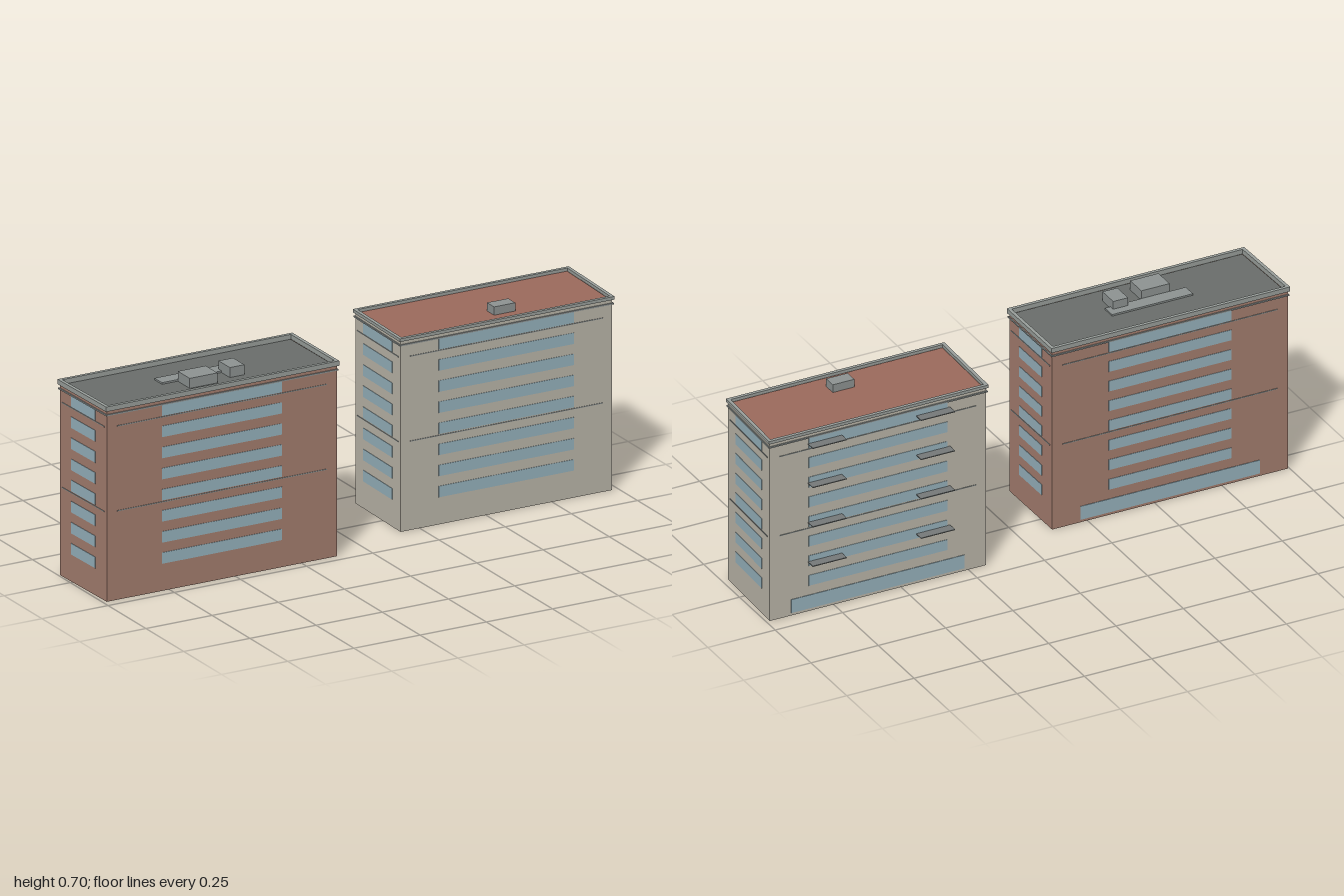
import * as THREE from 'three';

const mat = (color) => new THREE.MeshStandardMaterial({ color, flatShading: true });
const BRICK = mat(0xa67f70), BEIGE = mat(0xbdb8ab), GLASS = mat(0x98b4bf), TRIM = mat(0x8f9594),
  PARAPET = mat(0x9ba19d), ROOF_GREY = mat(0x6b6f6c), ROOF_RED = mat(0x9d6b5d), CANOPY = mat(0x777b7b);
const WALL_H = 0.665;

function add(group, name, geometry, material) {
  const mesh = new THREE.Mesh(geometry, material);
  mesh.name = name;
  group.add(mesh);
  return mesh;
}

// Footprint corners [x, z] run front left, front right, back right, back left on the plan.
const grow = (q, d) => q.map(([x, z], i) => [x + (i === 1 || i === 2 ? d : -d), z + (i < 2 ? d : -d)]);
const points = (q) => q.map(([x, z]) => new THREE.Vector2(x, -z));

// Upright prism over a footprint, with an optional hole
function prism(quad, y0, y1, hole) {
  const shape = new THREE.Shape(points(quad));
  if (hole) shape.holes.push(new THREE.Path(points(hole)));
  return new THREE.ExtrudeGeometry(shape, { depth: y1 - y0, bevelEnabled: false })
    .rotateX(-Math.PI / 2).translate(0, y0, 0);
}

// Box from its min and max corners
function block(x0, x1, y0, y1, z0, z1) {
  return new THREE.BoxGeometry(x1 - x0, y1 - y0, z1 - z0)
    .translate((x0 + x1) / 2, (y0 + y1) / 2, (z0 + z1) / 2);
}

// Thin panel centred on one wall, inset from both ends by a fraction of the wall
function wallPanel(quad, side, inset, y0, y1, depth) {
  const [ax, az] = quad[side], [bx, bz] = quad[(side + 1) % 4];
  const length = Math.hypot(bx - ax, bz - az) * (1 - 2 * inset);
  return new THREE.BoxGeometry(length, y1 - y0, depth)
    .rotateY(Math.atan2(az - bz, bx - ax))
    .translate((ax + bx) / 2, (y0 + y1) / 2, (az + bz) / 2);
}

function building({ name, quad, wall, roof, inset, shopInset, top }) {
  const g = new THREE.Group();
  g.name = name;
  add(g, 'walls', prism(quad, 0, WALL_H, null), wall);
  add(g, 'roof', prism(grow(quad, -0.008), WALL_H - 0.005, WALL_H + 0.003), roof);
  add(g, 'parapet', prism(grow(quad, 0.006), WALL_H + 0.002, top, grow(quad, -0.006)), PARAPET);
  add(g, 'cornice', prism(grow(quad, 0.004), 0.65, 0.655, grow(quad, -0.002)), TRIM);

  for (let side = 0; side < 4; side++) {
    // Eight storeys of ribbon windows
    for (let i = 0; i < 8; i++) {
      const y = 0.095 + i * 0.0738;
      add(g, 'windowBand', wallPanel(quad, side, inset, y, y + 0.039, 0.003), GLASS);
    }
    // Thin string courses
    for (const y of [0.311, 0.608])
      add(g, 'stringCourse', wallPanel(quad, side, 0.045, y - 0.0015, y + 0.0015, 0.004), TRIM);
  }
  // Ground floor glazing at the back
  add(g, 'groundGlazing', wallPanel(quad, 2, shopInset, 0.01, 0.06, 0.004), GLASS);
  return g;
}

export function createModel() {
  const model = new THREE.Group();
  model.name = 'buildings';

  const brick = building({
    name: 'brickBuilding', wall: BRICK, roof: ROOF_GREY, inset: 0.24, shopInset: 0.12, top: 0.684,
    quad: [[-0.986, 0.217], [-0.117, 0.217], [-0.119, -0.079], [-0.994, -0.079]],
  });
  // Roof plant
  add(brick, 'roofPlatform', block(-0.705, -0.405, 0.665, 0.674, 0.04, 0.09), TRIM);
  add(brick, 'largeRoofUnit', block(-0.645, -0.54, 0.665, 0.703, 0.09, 0.168), TRIM);
  add(brick, 'smallRoofUnit', block(-0.48, -0.425, 0.665, 0.703, 0.07, 0.145), TRIM);

  const beige = building({
    name: 'beigeBuilding', wall: BEIGE, roof: ROOF_RED, inset: 0.18, shopInset: 0.1, top: 0.678,
    quad: [[0.178, 0.122], [0.977, 0.122], [0.988, -0.188], [0.184, -0.188]],
  });
  add(beige, 'roofUnit', block(0.565, 0.645, 0.665, 0.697, 0.016, 0.063), TRIM);
  // Canopies on the back wall
  for (const y of [0.185, 0.333, 0.481, 0.628])
    for (const x of [0.318, 0.72])
      add(beige, 'canopy', block(x, x + 0.126, y - 0.0015, y + 0.0015, -0.223, -0.188), CANOPY);

  model.add(brick, beige);
  return model;
}
